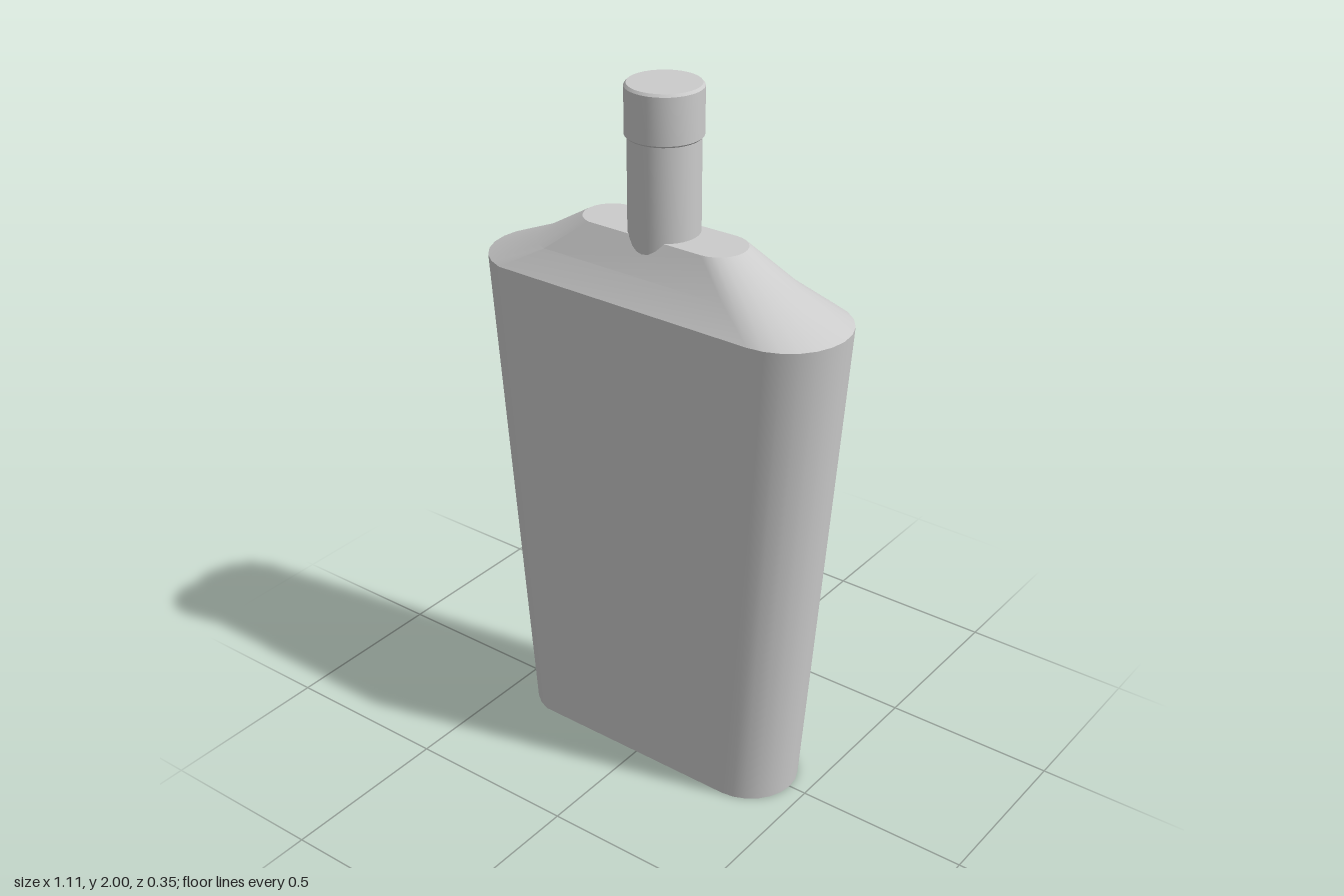
import * as THREE from 'three';
import { toCreasedNormals } from 'three/addons/utils/BufferGeometryUtils.js';

const SIDES = 24;
const material = new THREE.MeshStandardMaterial({ color: 0xcccccc });

// Stadium outline: a circle split in two halves that are pushed apart along x.
function outline(halfWidth) {
  const radius = halfWidth * 0.313;
  const points = [];
  for (let j = 0; j < SIDES; j++) {
    const a = (j / SIDES) * Math.PI * 2;
    const c = Math.cos(a);
    const shift = (halfWidth - radius) * (c > -1e-6 ? 1 : -1);
    points.push([c * radius + shift, Math.sin(a) * radius]);
  }
  return points;
}

// Loft through [halfWidth, y] sections, closed at both ends.
function loft(sections) {
  const positions = [];
  const index = [];
  for (const [halfWidth, y] of sections) {
    for (const [x, z] of outline(halfWidth)) positions.push(x, y, z);
  }
  const last = (sections.length - 1) * SIDES;
  const bottom = sections.length * SIDES;
  const top = bottom + 1;
  positions.push(0, sections[0][1], 0, 0, sections.at(-1)[1], 0);
  for (let j = 0; j < SIDES; j++) {
    const k = (j + 1) % SIDES;
    for (let r = 0; r < last; r += SIDES) {
      const u = r + SIDES;
      index.push(r + j, u + j, r + k, u + j, u + k, r + k);
    }
    index.push(bottom, j, k, top, last + k, last + j);
  }
  const geometry = new THREE.BufferGeometry();
  geometry.setAttribute('position', new THREE.Float32BufferAttribute(positions, 3));
  geometry.setIndex(index);
  return geometry;
}

function lathe(profile) {
  return new THREE.LatheGeometry(profile.map(([x, y]) => new THREE.Vector2(x, y)), 32);
}

export function createModel() {
  const group = new THREE.Group();
  const add = (name, geometry) => {
    const mesh = new THREE.Mesh(toCreasedNormals(geometry, 0.5), material);
    mesh.name = name;
    group.add(mesh);
  };

  // Tapered flat body with sloping, slightly concave shoulders
  add('bottleBody', loft([[0.448, 0], [0.557, 1.447], [0.4, 1.515], [0.25, 1.605]]));

  // Neck, sunk into the shoulders
  add('neck', lathe([[0, 1.5], [0.096, 1.5], [0.096, 1.87], [0, 1.87]]));

  // Stopper with a small bevel on its rim
  add('stopper', lathe([[0, 1.862], [0.098, 1.862], [0.103, 1.867], [0.103, 1.993], [0.097, 2], [0, 2]]));

  return group;
}
